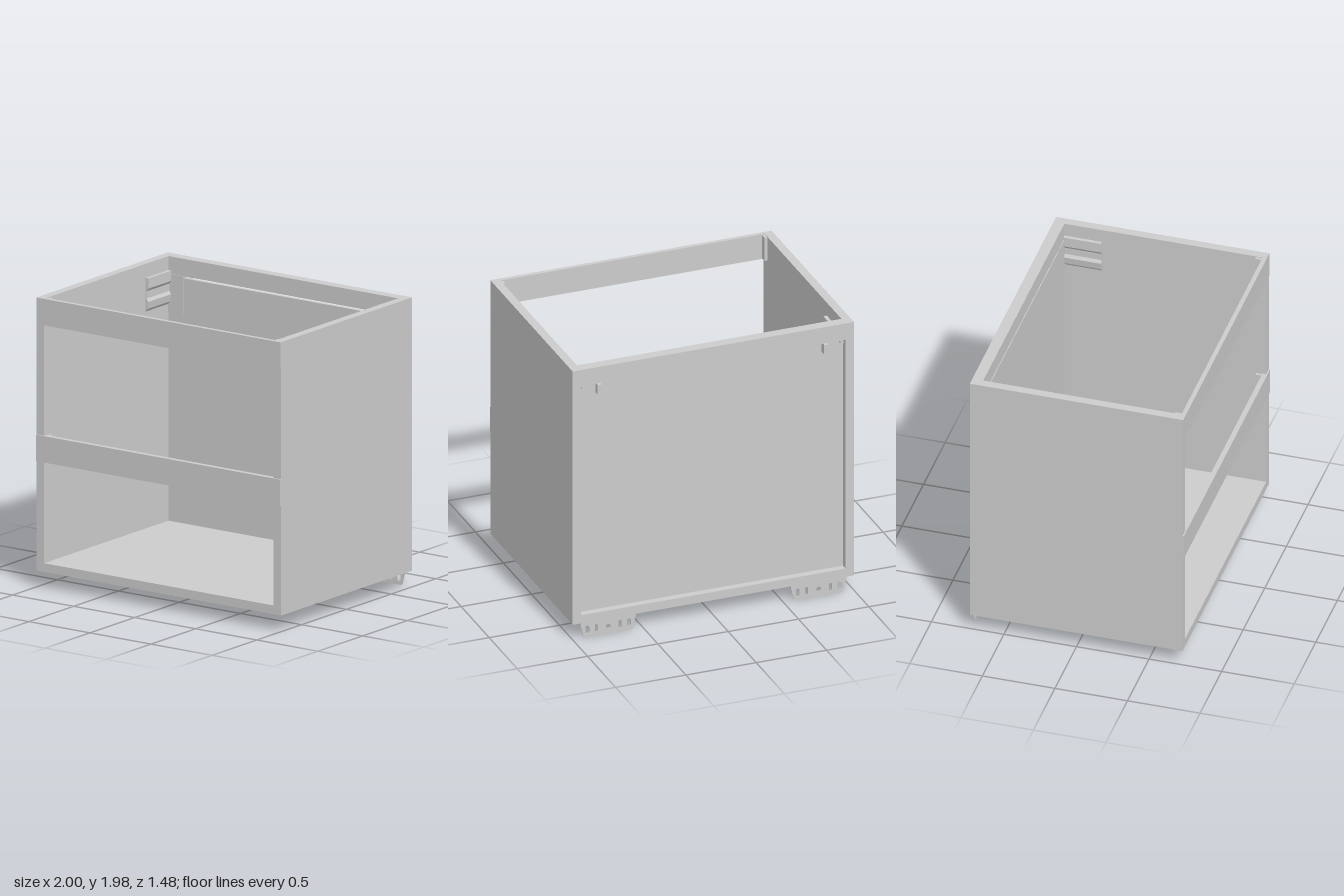
import * as THREE from 'three';

const material = new THREE.MeshStandardMaterial({ color: 0xcccccc });

export function createModel() {
  const cabinet = new THREE.Group();
  cabinet.name = 'cabinet';

  const add = (parent, name, geometry) => {
    const mesh = new THREE.Mesh(geometry, material);
    mesh.name = name;
    parent.add(mesh);
    return mesh;
  };
  // Box given by its lower and upper limits on each axis
  const box = (parent, name, [x0, x1], [y0, y1], [z0, z1]) =>
    add(parent, name, new THREE.BoxGeometry(x1 - x0, y1 - y0, z1 - z0))
      .position.set((x0 + x1) / 2, (y0 + y1) / 2, (z0 + z1) / 2);

  const inner = 0.94, base = 0.11, top = 1.975, back = -0.735, front = 0.73;

  // Carcass
  box(cabinet, 'leftSide', [inner, 1], [base, top], [back, front]);
  box(cabinet, 'rightSide', [-1, -inner], [base, top], [back, front]);
  box(cabinet, 'bottomPanel', [-inner, inner], [base, 0.17], [back, front]);
  box(cabinet, 'backRail', [-inner, inner], [1.856, top], [back, -0.66]);
  box(cabinet, 'backPanel', [-inner, inner], [0.17, 1.842], [-0.685, -0.66]);

  // Front rails: a full-width face over a core fitted between the sides
  box(cabinet, 'topRailFace', [-1, 1], [1.795, top], [front, 0.735]);
  box(cabinet, 'topRailCore', [-inner, inner], [1.795, top], [0.705, front]);
  box(cabinet, 'middleRailFace', [-1, 1], [0.86, 1.04], [front, 0.74]);
  box(cabinet, 'middleRailCore', [-inner, inner], [0.86, 1.04], [0.705, front]);

  // Left-hand fittings are built at +x; the right-hand ones are turned over
  for (const side of [1, -1]) {
    const fittings = new THREE.Group();
    fittings.name = side > 0 ? 'leftFittings' : 'rightFittings';
    cabinet.add(fittings);

    // Blocks joining the front rails to the side
    box(fittings, 'topRailBlock', [0.92, inner], [1.8, 1.97], [0.66, 0.705]);
    box(fittings, 'middleRailBlock', [0.92, inner], [0.865, 1.035], [0.66, 0.705]);

    // Wall hanger: plate through the back, hook, pin and ribbed arm on the side
    box(fittings, 'hangerPlate', [0.812, inner], [1.6, 1.856], [-0.69, -0.655]);
    box(fittings, 'hangerHook', [0.79, 0.82], [1.77, 1.84], [-0.73, -0.685]);
    const pin = add(fittings, 'hangerPin', new THREE.CylinderGeometry(0.012, 0.012, 0.04, 16));
    pin.rotation.x = Math.PI / 2;
    pin.position.set(0.92, 1.835, -0.705);

    const rib = new THREE.Shape([
      [0.94, 1.88], [0.915, 1.88], [0.915, 1.81], [0.93, 1.79], [0.93, 1.74],
      [0.915, 1.72], [0.922, 1.67], [0.94, 1.65],
    ].map(([x, y]) => new THREE.Vector2(x, y)));
    add(fittings, 'hangerArm', new THREE.ExtrudeGeometry(rib, { depth: 0.26, bevelEnabled: false }))
      .position.z = -0.66;

    // Slotted fixing foot and its flange under the bottom panel
    const foot = new THREE.Shape();
    foot.moveTo(-0.197, 0.11);
    foot.lineTo(-0.197, 0.095);
    foot.lineTo(-0.178, 0.02);
    foot.quadraticCurveTo(-0.172, 0, -0.152, 0);
    foot.lineTo(0.152, 0);
    foot.quadraticCurveTo(0.172, 0, 0.178, 0.02);
    foot.lineTo(0.197, 0.095);
    foot.lineTo(0.197, 0.11);
    foot.closePath();
    const slots = [[-0.148, 0.014], [-0.085, 0.01], [0.085, 0.01], [0.148, 0.014]];
    for (const [x, r] of slots) {
      const slot = new THREE.Path();
      slot.absarc(x, 0.085 - r, r, 0, Math.PI);
      slot.absarc(x, 0.027 + r, r, Math.PI, 2 * Math.PI);
      slot.closePath();
      foot.holes.push(slot);
    }
    foot.holes.push(new THREE.Path().absarc(0, 0.055, 0.017, 0, 2 * Math.PI));
    add(fittings, 'fixingFoot', new THREE.ExtrudeGeometry(foot, {
      depth: 0.006, bevelEnabled: false, curveSegments: 8,
    })).position.set(0.748, 0, back);
    box(fittings, 'footFlange', [0.551, 0.945], [0.104, base], [back, -0.6]);

    // Half turn about z then about x gives a mirror without inverted faces
    if (side < 0) {
      for (const mesh of fittings.children) {
        mesh.updateMatrix();
        const g = mesh.geometry.toNonIndexed().applyMatrix4(mesh.matrix).scale(-1, 1, 1);
        // Swap two corners of each triangle to keep faces outward
        for (const attribute of Object.values(g.attributes)) {
          const a = attribute.array, n = attribute.itemSize;
          for (let i = 0; i < a.length; i += 3 * n) {
            for (let k = 0; k < n; k++) {
              [a[i + n + k], a[i + 2 * n + k]] = [a[i + 2 * n + k], a[i + n + k]];
            }
          }
        }
        g.computeVertexNormals();
        mesh.geometry = g;
        mesh.position.set(0, 0, 0);
        mesh.rotation.set(0, 0, 0);
      }
    }
  }
  return cabinet;
}
